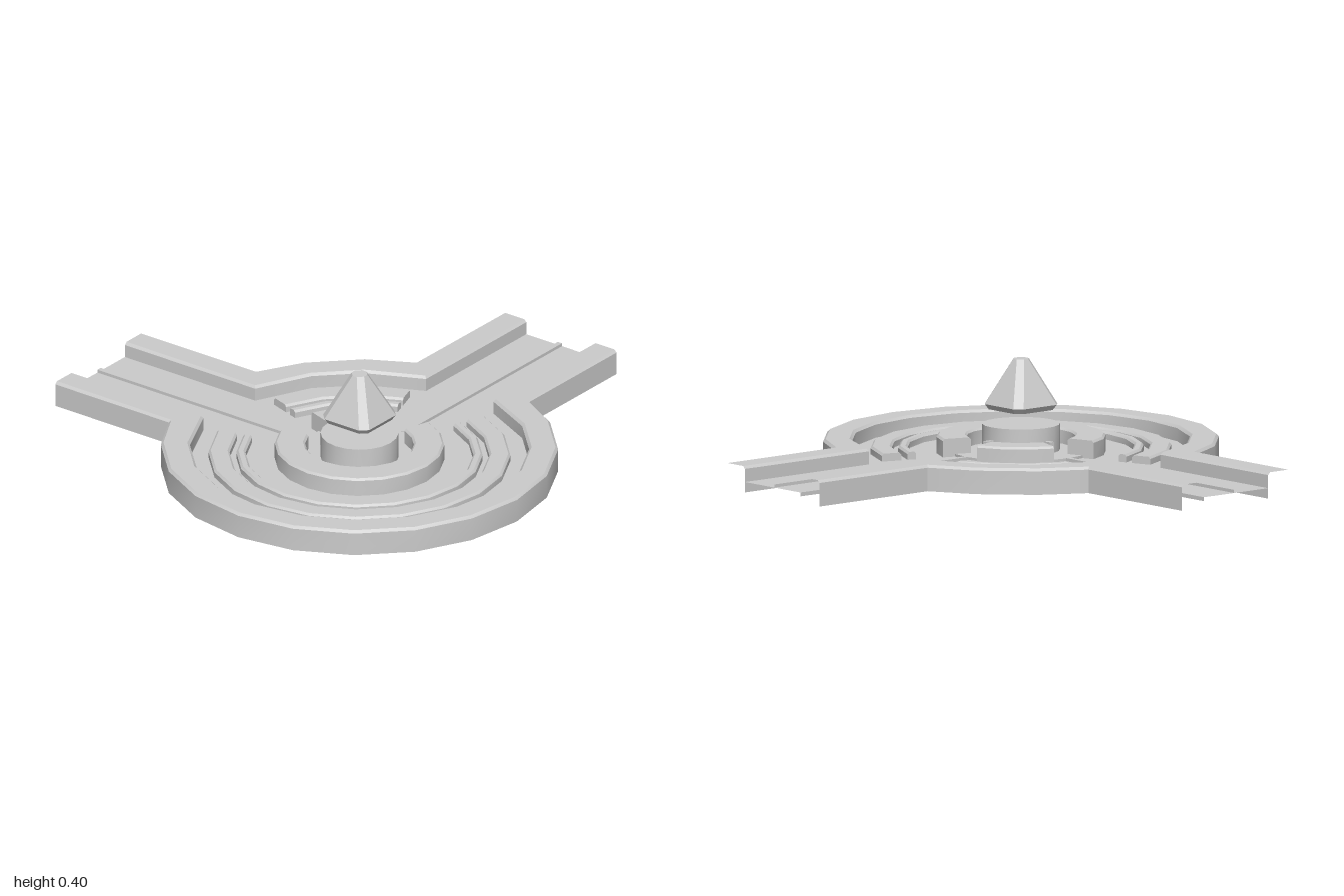
import * as THREE from 'three';
import { toCreasedNormals } from 'three/addons/utils/BufferGeometryUtils.js';
import { ConvexGeometry } from 'three/addons/geometries/ConvexGeometry.js';

const material = new THREE.MeshStandardMaterial({ color: 0xcccccc });
const STEP = 18; // twenty-sided rings
const ARM_END = -1.24; // measured from the hub centre

const polar = (r, deg) => [r * Math.cos(deg * Math.PI / 180), r * Math.sin(deg * Math.PI / 180)];

// Stations [outer, inner] along an arc, from a larger to a smaller angle
function arc(outer, inner, from, to) {
  const out = [];
  for (let a = from; a >= to; a -= STEP) out.push([polar(outer, a), polar(inner, a)]);
  return out;
}

// Sweeps a block with bevelled top edges along the stations
function sweep(stations, y0, y1, bevel, capped = true) {
  const rings = stations.map(([o, i]) => {
    const t = bevel / Math.hypot(o[0] - i[0], o[1] - i[1]);
    const at = (s, y) => [o[0] + (i[0] - o[0]) * s, y, o[1] + (i[1] - o[1]) * s];
    return [at(0, y0), at(0, y1 - bevel), at(t, y1), at(1 - t, y1), at(1, y1 - bevel), at(1, y0)];
  });
  const pos = [];
  const tri = (...points) => points.forEach(p => pos.push(...p));
  for (let i = 0; i < rings.length - 1; i++) {
    for (let k = 0; k < 6; k++) {
      const n = (k + 1) % 6, a = rings[i], b = rings[i + 1];
      tri(a[k], b[k], b[n]);
      tri(a[k], b[n], a[n]);
    }
  }
  if (capped) {
    const s = rings[0], e = rings[rings.length - 1];
    for (let k = 1; k < 5; k++) {
      tri(s[0], s[k], s[k + 1]);
      tri(e[0], e[k + 1], e[k]);
    }
  }
  const geo = new THREE.BufferGeometry();
  geo.setAttribute('position', new THREE.Float32BufferAttribute(pos, 3));
  return toCreasedNormals(geo, 0.5);
}

// Removes the faces lying on the open ends of the two arms
function openEnds(source) {
  const geo = source.index ? source.toNonIndexed() : source;
  const p = geo.attributes.position, kept = [];
  for (let i = 0; i < p.count; i += 3) {
    const ids = [i, i + 1, i + 2];
    const onEnd = ids.every(j => p.getX(j) < ARM_END + 0.001) || ids.every(j => p.getZ(j) < ARM_END + 0.001);
    if (!onEnd) ids.forEach(j => kept.push(p.getX(j), p.getY(j), p.getZ(j)));
  }
  const out = new THREE.BufferGeometry();
  out.setAttribute('position', new THREE.Float32BufferAttribute(kept, 3));
  out.computeVertexNormals();
  return out;
}

function floorGeometry(y0, y1) {
  const pts = [[ARM_END, 0.16], [-0.62, 0.16]];
  for (let a = 144; a >= -54; a -= STEP) pts.push(polar(0.64, a));
  pts.push([0.16, -0.62], [0.16, ARM_END], [-0.16, ARM_END], [-0.16, -0.62]);
  pts.push(polar(0.64, 234), polar(0.64, 216), [-0.62, -0.16], [ARM_END, -0.16]);
  const shape = new THREE.Shape(pts.map(([x, z]) => new THREE.Vector2(x, -z)));
  const geo = new THREE.ExtrudeGeometry(shape, { depth: y1 - y0, bevelEnabled: false });
  geo.rotateX(-Math.PI / 2).translate(0, y0, 0);
  return openEnds(geo);
}

export function createModel() {
  const model = new THREE.Group();
  model.name = 'crossingPlatform';
  const hub = new THREE.Group();
  hub.name = 'hub';
  hub.position.set(0.24, 0, 0.24);
  model.add(hub);

  function add(name, geometry) {
    const mesh = new THREE.Mesh(geometry, material);
    mesh.name = name;
    hub.add(mesh);
    return mesh;
  }

  add('floor', floorGeometry(0.025, 0.04));

  // Boundary walls, running on along both arms
  add('outerWall', sweep([
    [[ARM_END, 0.27], [ARM_END, 0.16]],
    [[-0.70, 0.27], [-0.62, 0.16]],
    ...arc(0.75, 0.64, 144, -54),
    [[0.27, -0.70], [0.16, -0.62]],
    [[0.27, ARM_END], [0.16, ARM_END]],
  ], 0, 0.1, 0.01, false));
  add('cornerWall', sweep([
    [[-0.27, ARM_END], [-0.16, ARM_END]],
    [[-0.27, -0.70], [-0.16, -0.62]],
    ...arc(0.75, 0.64, 234, 216),
    [[-0.70, -0.27], [-0.62, -0.16]],
    [[ARM_END, -0.27], [ARM_END, -0.16]],
  ], 0, 0.1, 0.01, false));

  // Concentric raised arcs, broken where the arms come in
  const arcs = [
    ['wideRing', 0.57, 0.49, 0.07, 0.008],
    ['narrowRing', 0.465, 0.43, 0.07, 0.008],
    ['platformRing', 0.32, 0.205, 0.11, 0.008],
  ];
  for (const [name, outer, inner, top, bevel] of arcs) {
    add(name, sweep(arc(outer, inner, 162, -72), 0.04, top, bevel));
    add(name + 'Corner', sweep(arc(outer, inner, 252, 198), 0.04, top, bevel));
  }

  // Central disc and pedestal
  const cylinder = (r, y0, y1) => toCreasedNormals(
    new THREE.CylinderGeometry(r, r, y1 - y0, 20).translate(0, (y0 + y1) / 2, 0), 0.5);
  add('hubDisc', cylinder(0.27, 0.04, 0.05));
  add('pedestal', cylinder(0.147, 0.05, 0.15));

  // Centre line along each arm and its short link to the pedestal
  for (const turned of [false, true]) {
    const line = new THREE.BoxGeometry(0.97, 0.012, 0.02).translate(-0.755, 0.046, 0);
    const link = new THREE.BoxGeometry(0.04, 0.05, 0.02).translate(-0.16, 0.075, 0);
    if (turned) [line, link].forEach(g => g.rotateY(-Math.PI / 2));
    add('centreLine', openEnds(line));
    add('pedestalLink', link);
  }

  // Floating crystal: a pyramid with chamfered edges
  const points = [];
  for (const [y, half, chamfer] of [[0.205, 0.098, 0.025], [0.225, 0.11, 0.028], [0.398, 0.03, 0.02]]) {
    for (const sx of [-1, 1]) for (const sz of [-1, 1]) {
      points.push(new THREE.Vector3(sx * half, y, sz * (half - chamfer)));
      points.push(new THREE.Vector3(sx * (half - chamfer), y, sz * half));
    }
  }
  add('crystal', new ConvexGeometry(points));

  return model;
}
